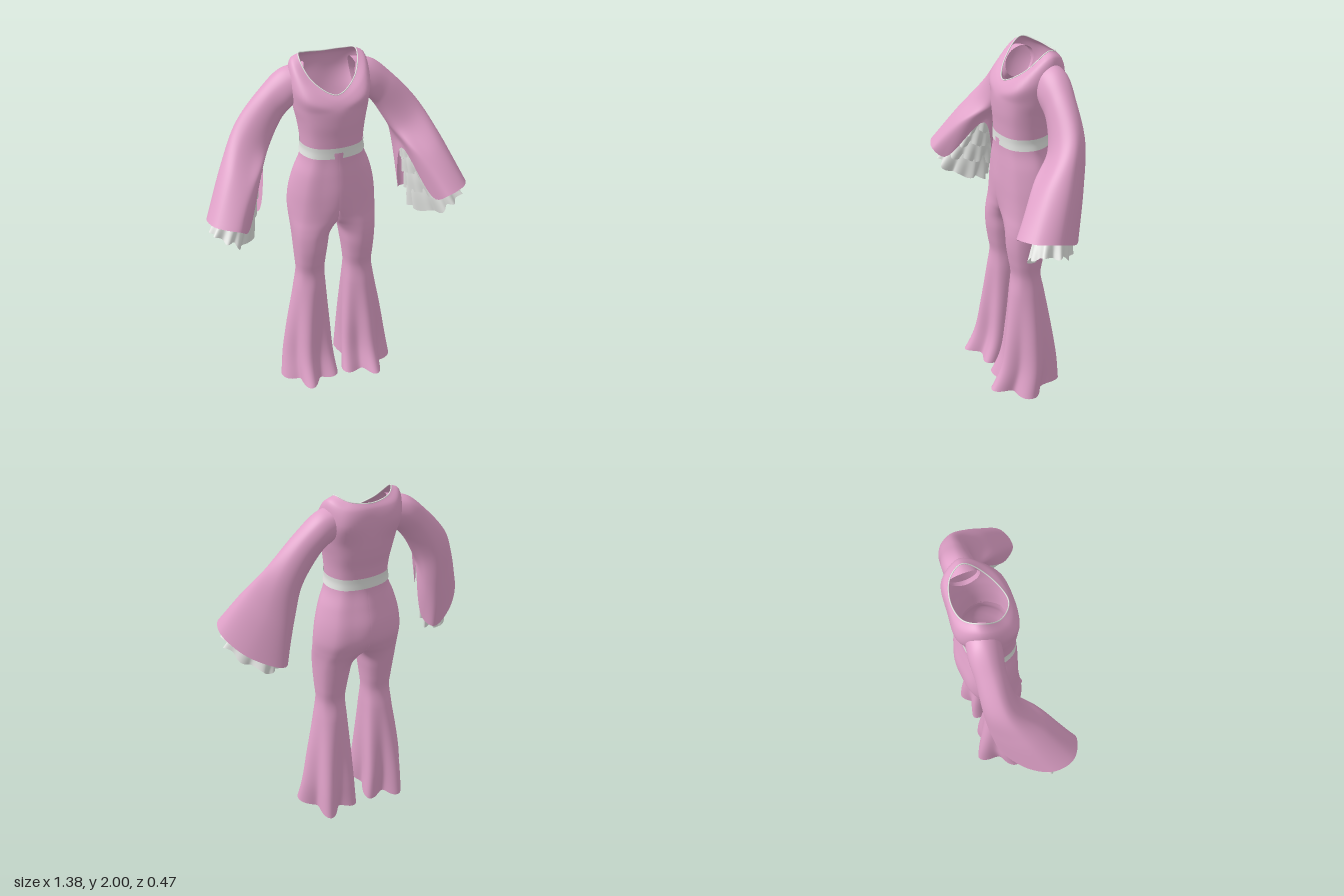
import * as THREE from 'three';

const V = (x, y, z) => new THREE.Vector3(x, y, z);
const pts = (list) => list.map((p) => V(...p));
const lerp = THREE.MathUtils.lerp;

// Smooth open tube through rings of eight points, listed from top to bottom.
// side = -1 mirrors it in x; deform(point, centre, angle, v) adds folds.
function loft(rings, nu, nv, side = 1, deform = null) {
  const curves = rings.map((r) => new THREE.CatmullRomCurve3(r, true));
  const columns = [];
  for (let i = 0; i < nu; i++) {
    const line = new THREE.CatmullRomCurve3(curves.map((c) => c.getPoint(i / nu)));
    columns.push(line.getPoints(nv));
  }
  const pos = [], idx = [];
  for (let j = 0; j <= nv; j++) {
    const centre = V(0, 0, 0);
    columns.forEach((c) => centre.addScaledVector(c[j], 1 / nu));
    for (let i = 0; i < nu; i++) {
      const p = columns[i][j].clone();
      if (deform) deform(p, centre, (i / nu) * Math.PI * 2, j / nv);
      pos.push(p.x * side, p.y, p.z);
    }
  }
  // Faces lying wholly on the middle plane are left out
  const face = (a, b, c) => {
    if ([a, b, c].every((n) => pos[n * 3] === 0)) return;
    if (side > 0) idx.push(a, b, c);
    else idx.push(a, c, b);
  };
  for (let j = 0; j < nv; j++) {
    for (let i = 0; i < nu; i++) {
      const a = j * nu + i, b = j * nu + (i + 1) % nu;
      face(a, b, a + nu);
      face(b, b + nu, a + nu);
    }
  }
  const g = new THREE.BufferGeometry();
  g.setAttribute('position', new THREE.Float32BufferAttribute(pos, 3));
  g.setIndex(idx);
  g.computeVertexNormals();
  return g;
}

// Eight-point ring through its outer, front, inner and back points
function ring4(o, f, i, k) {
  const [O, F, I, K] = pts([o, f, i, k]);
  const out = [];
  for (let n = 0; n < 8; n++) {
    const t = (n * Math.PI) / 4, c = Math.cos(t), s = Math.sin(t), e = Math.cos(2 * t) / 4;
    out.push(V(0, 0, 0)
      .addScaledVector(O, 0.25 + c / 2 + e).addScaledVector(I, 0.25 - c / 2 + e)
      .addScaledVector(F, 0.25 + s / 2 - e).addScaledVector(K, 0.25 - s / 2 - e));
  }
  return out;
}

// Level body ring: height, half width, front z, back z
function bodyRing([y, w, zf, zb], grow = 0) {
  const m = (zf + zb) / 2, h = (zf - zb) / 2 + grow, a = w + grow, q = 0.74;
  return pts([[a, y, m], [a * q, y, m + h * q], [0, y, m + h], [-a * q, y, m + h * q],
    [-a, y, m], [-a * q, y, m - h * q], [0, y, m - h], [a * q, y, m - h * q]]);
}

// Symmetric ring from its left half: side, front diagonal, front, back, back diagonal
function neckRing(s, fd, f, b, bd) {
  const m = ([x, y, z]) => [-x, y, z];
  return pts([s, fd, f, m(fd), m(s), m(bd), b, bd]);
}

// Trouser ring: height, outer x, inner x, front z, back z, and k, which blends
// from a round leg (0) to one half of the hips, reaching past the middle (1)
function legRing([y, xo, xi, zf, zb, k]) {
  const cx = (xo + xi) / 2, w = (xo - xi) / 2, m = (zf + zb) / 2, h = (zf - zb) / 2, q = 0.73;
  const xd = lerp(cx + w * q, xo * 0.74, k), xm = lerp(cx, xo * 0.4, k), hm = h * lerp(1, 0.945, k);
  const xn = lerp(cx - w * q, -xo * 0.12, k), hn = h * lerp(q, 1, k);
  return pts([[xo, y, m], [xd, y, m + h * q], [xm, y, m + hm], [xn, y, m + hn],
    [xi, y, m], [xn, y, m - hn], [xm, y, m - hm], [xd, y, m - h * q]]);
}

// Halves meet on the middle plane; deep folds grow from the knee to the hem
function trouserShape(p, c, a) {
  if (p.y > 1) p.x = Math.max(p.x, 0);
  const f = Math.max(0, 0.74 - p.y) / 0.74;
  const s = 1 + 0.19 * f * (Math.cos(5 * (a - 0.09)) - 1) + 0.03 * f * f * Math.sin(3 * a + 1);
  p.x = c.x + (p.x - c.x) * s;
  p.z = c.z + (p.z - c.z) * s;
  p.y += f ** 6 * (0.04 * Math.max(0, p.z / 0.2) + 0.006 * (1 + Math.cos(7 * a)));
}

export function createModel() {
  const group = new THREE.Group();
  const mat = (name, color) => {
    const m = new THREE.MeshStandardMaterial({ color, side: THREE.DoubleSide });
    m.name = name;
    return m;
  };
  const pink = mat('pink fabric', 0xe0a2c9);
  const white = mat('white trim', 0xe4e6e3);
  const add = (name, geometry, material) => {
    const mesh = new THREE.Mesh(geometry, material);
    mesh.name = name;
    group.add(mesh);
  };

  // Bodice
  const neck = neckRing([0.145, 1.995, -0.125], [0.108, 1.9, -0.02], [0, 1.84, 0.042],
    [0, 1.965, -0.215], [0.1, 1.978, -0.19]);
  const body = [
    neck,
    neckRing([0.185, 1.973, -0.125], [0.135, 1.875, 0.012], [0, 1.815, 0.062],
      [0, 1.94, -0.228], [0.13, 1.945, -0.212]),
    neckRing([0.203, 1.89, -0.115], [0.152, 1.825, 0.04], [0, 1.79, 0.074],
      [0, 1.87, -0.235], [0.145, 1.87, -0.222]),
    ...[[1.76, 0.192, 0.081, -0.225], [1.69, 0.178, 0.081, -0.212], [1.62, 0.168, 0.075, -0.195],
      [1.53, 0.161, 0.07, -0.183]].map((r) => bodyRing(r)),
  ];
  add('bodice', loft(body, 64, 48), pink);

  // Waistband and neckline edging
  add('waistband', loft([[1.568, 0.163, 0.072, -0.188], [1.54, 0.162, 0.071, -0.186],
    [1.508, 0.168, 0.071, -0.186]].map((r) => bodyRing(r, 0.004)), 64, 6), white);
  add('necklineTrim', new THREE.TubeGeometry(new THREE.CatmullRomCurve3(neck, true), 80, 0.003, 6, true), white);

  // One half of the flared trousers, from waist to hem
  const leg = [[1.54, 0.161, -0.04, 0.07, -0.183, 1], [1.48, 0.173, -0.04, 0.07, -0.185, 1],
    [1.4, 0.205, -0.045, 0.075, -0.202, 1], [1.3, 0.232, -0.05, 0.08, -0.224, 1],
    [1.21, 0.243, -0.045, 0.081, -0.224, 0.85], [1.14, 0.242, -0.03, 0.081, -0.198, 0.5],
    [1.085, 0.238, 0.002, 0.083, -0.172, 0.15], [1.03, 0.234, 0.024, 0.085, -0.155, 0],
    [0.95, 0.23, 0.038, 0.083, -0.138, 0], [0.86, 0.225, 0.05, 0.071, -0.12, 0],
    [0.77, 0.221, 0.058, 0.058, -0.106, 0], [0.65, 0.24, 0.05, 0.075, -0.127, 0],
    [0.4, 0.288, 0.03, 0.112, -0.17, 0], [0.18, 0.322, 0.015, 0.155, -0.205, 0],
    [0, 0.343, 0.0, 0.23, -0.225, 0]].map(legRing);

  // Bell sleeve with a slanted hem, open on the inner side
  const sleeve = [
    ring4([0.12, 1.955, -0.125], [0.15, 1.87, -0.045], [0.15, 1.78, -0.11], [0.135, 1.87, -0.195]),
    ring4([0.23, 1.93, -0.125], [0.22, 1.82, -0.045], [0.2, 1.745, -0.11], [0.225, 1.84, -0.203]),
    ring4([0.335, 1.845, -0.12], [0.29, 1.76, -0.05], [0.245, 1.69, -0.11], [0.3, 1.77, -0.195]),
    ring4([0.477, 1.69, -0.1], [0.4, 1.6, -0.015], [0.31, 1.585, -0.085], [0.39, 1.61, -0.19]),
    ring4([0.575, 1.525, -0.03], [0.475, 1.45, 0.115], [0.362, 1.5, -0.04], [0.42, 1.4, -0.175]),
    pts([[0.69, 1.285, 0.08], [0.66, 1.3, 0.19], [0.55, 1.28, 0.235], [0.5, 1.235, 0.18],
      [0.375, 1.46, -0.02], [0.395, 1.17, -0.085], [0.435, 1.14, -0.145], [0.6, 1.2, -0.06]]),
  ];

  // Ruffle tiers run between an upper and a lower ring inside the sleeve
  const upper = ring4([0.5, 1.53, -0.03], [0.45, 1.45, 0.05], [0.37, 1.53, -0.03], [0.42, 1.44, -0.12]);
  const lower = pts([[0.67, 1.2, 0.07], [0.65, 1.21, 0.15], [0.58, 1.17, 0.18], [0.525, 1.11, 0.12],
    [0.46, 1.09, 0.03], [0.455, 1.08, -0.04], [0.5, 1.08, -0.08], [0.595, 1.13, -0.02]]);
  const tierRing = (t, grow) => {
    const r = upper.map((p, i) => p.clone().lerp(lower[i], t));
    const c = r.reduce((s, p) => s.addScaledVector(p, 1 / 8), V(0, 0, 0));
    return r.map((p) => V(lerp(c.x, p.x, grow), p.y, lerp(c.z, p.z, grow)));
  };
  const tiers = [[0, 0.3], [0.18, 0.5], [0.38, 0.74], [0.58, 1]];

  for (const [side, label] of [[1, 'left'], [-1, 'right']]) {
    add(label + 'Leg', loft(leg, 96, 84, side, trouserShape), pink);
    add(label + 'Sleeve', loft(sleeve, 64, 50, side), pink);
    tiers.forEach(([a, b], k) => {
      const pleats = (p, c, ang, v) => {
        const w = Math.cos(10 * ang + k * 2) + 0.4 * Math.sin(6 * ang + k);
        const s = 1 + 0.1 * v * w;
        p.x = c.x + (p.x - c.x) * s;
        p.z = c.z + (p.z - c.z) * s;
        p.y += 0.01 * v * Math.sin(7 * ang + k);
      };
      const rings = [tierRing(a, 0.85), tierRing((a + b) / 2, 0.99), tierRing(b, 1.02)];
      add(label + 'CuffRuffle' + (k + 1), loft(rings, 140, 8, side, pleats), white);
    });
  }
  return group;
}
